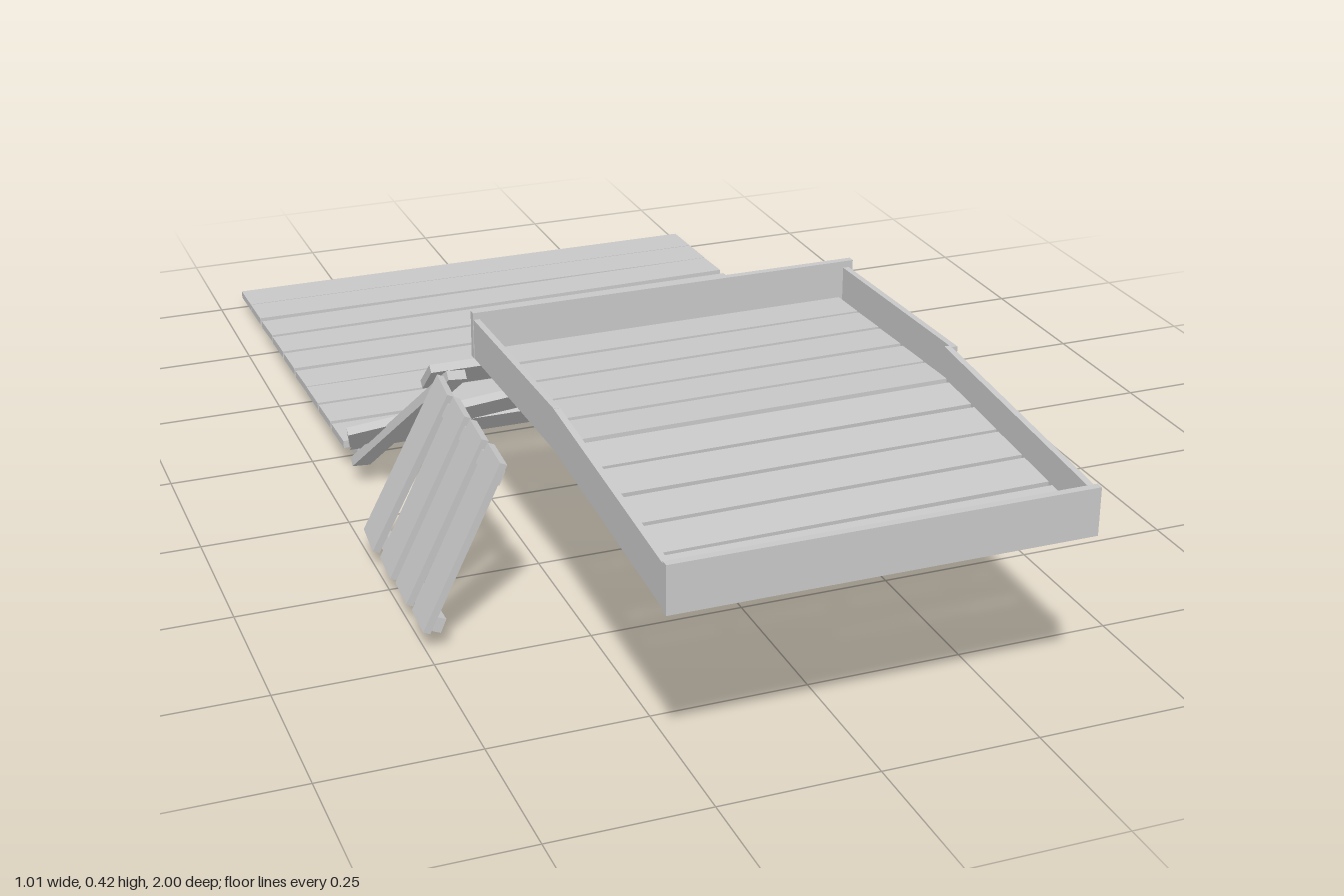
import * as THREE from 'three';

const wood = new THREE.MeshStandardMaterial({ color: 0xc8c8c8 });
wood.name = 'greyWood';
const V = (x, y, z) => new THREE.Vector3(x, y, z);

// Board running from a to b; its thickness lies along the normal.
function board(parent, name, a, b, width, thick, normal) {
  const dir = b.clone().sub(a);
  const length = dir.length();
  dir.normalize();
  const up = normal.clone().addScaledVector(dir, -normal.dot(dir)).normalize();
  const side = dir.clone().cross(up);
  const mesh = new THREE.Mesh(new THREE.BoxGeometry(length, thick, width), wood);
  mesh.quaternion.setFromRotationMatrix(new THREE.Matrix4().makeBasis(dir, up, side));
  mesh.position.copy(a).add(b).multiplyScalar(0.5);
  mesh.name = name;
  parent.add(mesh);
}

function part(root, name) {
  const g = new THREE.Group();
  g.name = name;
  root.add(g);
  return g;
}

// Low slatted deck at the back
function buildDeck(root) {
  const g = part(root, 'backDeck');
  const slope = 0.029;
  const normal = V(0, 1, -slope);
  const topY = (z) => 0.029 + (z + 1) * slope;
  for (const x of [-0.42, 0.449]) {
    board(g, 'deckRail', V(x, 0.011, -0.998), V(x, 0.011 + 0.813 * slope, -0.185), 0.028, 0.021, normal);
  }
  // left and right z of each slat
  const ends = [[-0.957, -0.957], [-0.874, -0.874], [-0.775, -0.792], [-0.684, -0.69], [-0.593, -0.597],
    [-0.498, -0.51], [-0.414, -0.416], [-0.324, -0.33], [-0.231, -0.235]];
  for (const [zl, zr] of ends) {
    board(g, 'deckSlat', V(-0.457, topY(zl), zl), V(0.482, topY(zr), zr), 0.081, 0.013, normal);
  }
}

// Sloping frame between the deck and the tray
function buildRamp(root) {
  const g = part(root, 'rampFrame');
  const normal = V(0, 0.74, -0.67);
  for (const s of [-1, 1]) {
    board(g, 'rampRail', V(s * 0.347, 0.305, 0.143), V(s * 0.438, 0.035, -0.152), 0.033, 0.016, normal);
  }
  board(g, 'upperPlank', V(-0.386, 0.290, 0.100), V(0.377, 0.290, 0.100), 0.075, 0.014, normal);
  board(g, 'diagonalPlank', V(-0.475, 0.118, -0.078), V(0.405, 0.261, 0.048), 0.075, 0.014, normal);
  board(g, 'lowerPlank', V(-0.452, 0.083, -0.142), V(0.440, 0.083, -0.142), 0.075, 0.014, normal);
}

// Raised tray at the front, bent near its middle
function buildTray(root) {
  const g = part(root, 'frontTray');
  const lineY = (z) => (z > 0.55 ? 0.385 - (z - 0.55) * 0.084 : 0.385 - (0.55 - z) * 0.031);
  const sideways = V(1, 0, 0);
  for (const [xFront, xBack] of [[-0.319, -0.319], [0.312, 0.321]]) {
    board(g, 'traySide', V(xFront, lineY(0.99), 0.99), V(xFront, lineY(0.545), 0.545), 0.066, 0.01, sideways);
    board(g, 'traySide', V(xBack, lineY(0.555), 0.555), V(xBack, lineY(0.165), 0.165), 0.066, 0.01, sideways);
  }
  const forward = V(0, 0, 1);
  board(g, 'trayFront', V(-0.325, 0.349, 0.994), V(0.318, 0.349, 0.994), 0.075, 0.012, forward);
  board(g, 'trayBack', V(-0.325, 0.379, 0.162), V(0.333, 0.379, 0.162), 0.077, 0.012, forward);
  for (let i = 0; i < 10; i++) {
    const z = 0.212 + i * 0.0793;
    const slope = z > 0.55 ? 0.084 : -0.031;
    const skew = i % 3 === 0 ? 0.002 : 0.004;
    const y = lineY(z) - 0.022;
    board(g, 'traySlat', V(-0.313, y, z + skew), V(0.307, y, z - skew), 0.071, 0.012, V(0, 1, slope));
  }
}

// Leaning slatted panel on each side
function buildPanel(root, s, name) {
  const g = part(root, name);
  const normal = V(s * 0.92, 0.4, 0);
  // z at the top and bottom of each slat
  const slats = [[0.447, 0.429], [0.358, 0.336], [0.270, 0.246], [0.181, 0.145]];
  for (const [zt, zb] of slats) {
    board(g, 'panelSlat', V(s * 0.377, 0.307, zt), V(s * 0.499, 0.036, zb), 0.067, 0.012, normal);
  }
  board(g, 'panelRail', V(s * 0.382, 0.277, 0.465), V(s * 0.382, 0.277, 0.155), 0.024, 0.014, normal);
  board(g, 'panelRail', V(s * 0.480, 0.046, 0.465), V(s * 0.480, 0.046, 0.105), 0.024, 0.014, normal);
}

export function createModel() {
  const root = new THREE.Group();
  root.name = 'slattedFurniture';
  buildDeck(root);
  buildRamp(root);
  buildTray(root);
  buildPanel(root, 1, 'leftPanel');
  buildPanel(root, -1, 'rightPanel');
  return root;
}
